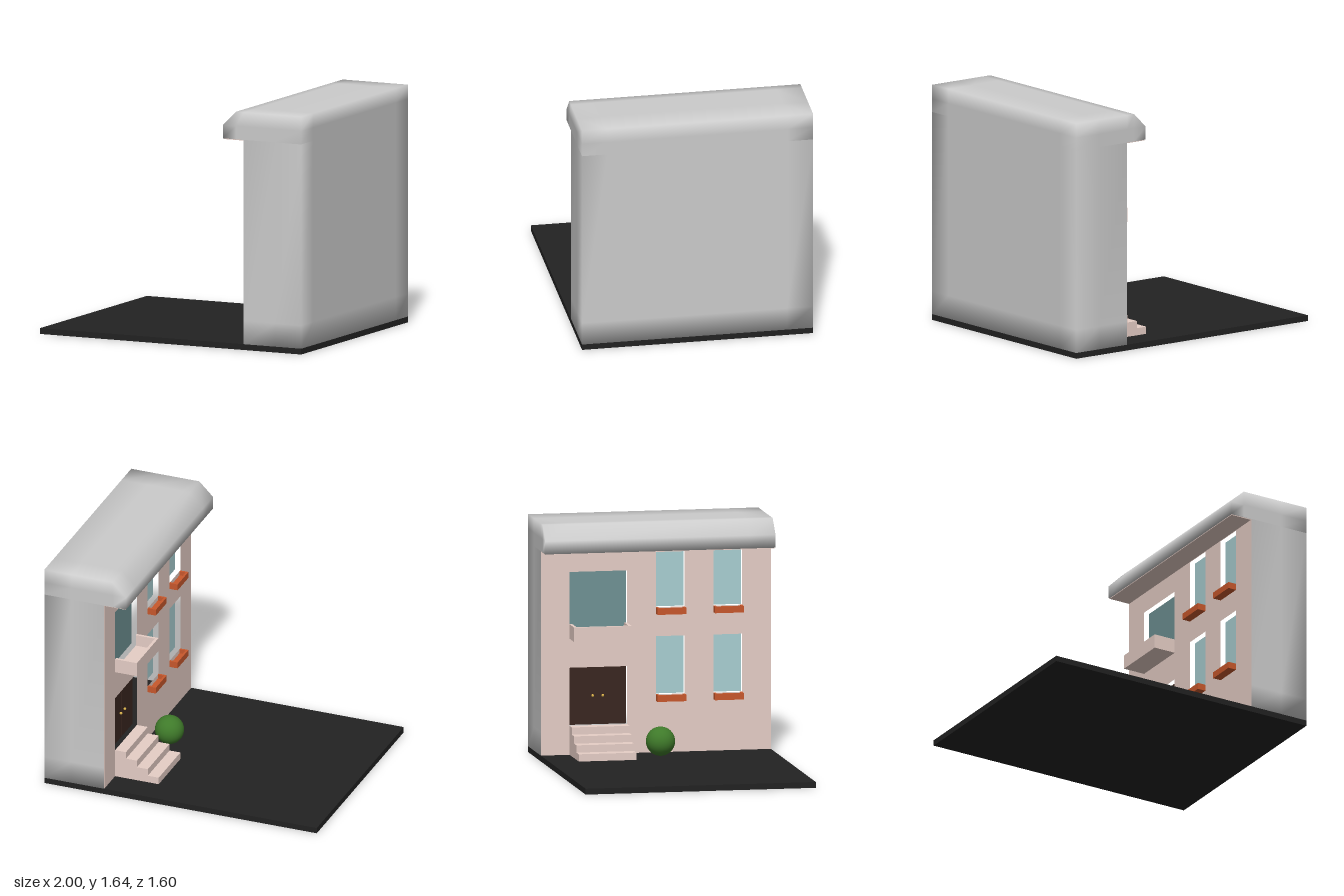
import * as THREE from 'three';
import { mergeVertices } from 'three/addons/utils/BufferGeometryUtils.js';

const mat = (color) => new THREE.MeshStandardMaterial({ color });
const grey = mat(0xcccccc), plaster = mat(0xe6cec6), black = mat(0x222222), terracotta = mat(0xc8582c);
const green = mat(0x3f7a2a), wood = mat(0x3a2620), brass = mat(0xd8b04a);
const glass = mat(0xa9cfd2), darkGlass = mat(0x6f9294);

export function createModel() {
  const root = new THREE.Group();

  const add = (parent, name, geometry, material) => {
    const mesh = new THREE.Mesh(geometry, material);
    mesh.name = name;
    parent.add(mesh);
    return mesh;
  };
  // Box given by its limits on each axis
  const box = (parent, name, material, x0, x1, y0, y1, z0, z1) => {
    const g = new THREE.BoxGeometry(x1 - x0, y1 - y0, z1 - z0);
    g.translate((x0 + x1) / 2, (y0 + y1) / 2, (z0 + z1) / 2);
    return add(parent, name, g, material);
  };
  // Tray against the facade, open at the top
  const tray = (name, material, x0, y0, y1, z0, z1, t) => {
    const g = new THREE.Group();
    g.name = name;
    box(g, 'trayFloor', material, x0, 0.56, y0, y0 + t, z0, z1);
    box(g, 'trayFront', material, x0, x0 + t, y0 + t, y1, z0, z1);
    box(g, 'traySide', material, x0 + t, 0.56, y0 + t, y1, z0, z0 + t);
    box(g, 'traySide', material, x0 + t, 0.56, y0 + t, y1, z1 - t, z1);
    root.add(g);
  };

  box(root, 'ground', black, -1, 1, 0, 0.04, -0.8, 0.8);
  add(root, 'houseShell', shellGeometry(), grey);
  box(root, 'eaveUnderside', plaster, 0.405, 0.56, 1.444, 1.449, -0.795, 0.795);

  // Openings in the facade: [z0, z1, y0, y1]
  const door = [-0.6, -0.2, 0.24, 0.64];
  const balconyDoor = [-0.6, -0.2, 0.86, 1.3];
  const windows = [];
  for (const y of [0.44, 1.04]) for (const z of [0, 0.4]) windows.push([z, z + 0.2, y, y + 0.4]);

  // Facade panel, looking towards -x
  const rect = (Type, [z0, z1, y0, y1]) => new Type([
    new THREE.Vector2(-z0, y0), new THREE.Vector2(-z1, y0),
    new THREE.Vector2(-z1, y1), new THREE.Vector2(-z0, y1),
  ]);
  const panel = rect(THREE.Shape, [-0.799, 0.799, 0.04, 1.449]);
  panel.holes = [door, balconyDoor, ...windows].map((o) => rect(THREE.Path, o));
  const facade = new THREE.ExtrudeGeometry(panel, { depth: 0.04, bevelEnabled: false });
  facade.rotateY(Math.PI / 2);
  facade.translate(0.56, 0, 0);
  add(root, 'facade', facade, plaster);

  // Window panes and their flower boxes
  for (const [z0, z1, y0, y1] of windows) {
    box(root, 'windowPane', glass, 0.6, 0.61, y0, y1, z0, z1);
    tray('flowerBox', terracotta, 0.5, y0 - 0.045, y0, z0, z1, 0.015);
  }
  box(root, 'balconyDoorPane', darkGlass, 0.6, 0.61, 0.86, 1.3, -0.6, -0.2);
  tray('balcony', plaster, 0.4, 0.84, 0.94, -0.6, -0.2, 0.02);

  // Double door with knobs
  box(root, 'doorBack', wood, 0.6, 0.61, 0.24, 0.64, -0.6, -0.2);
  for (const s of [-1, 1]) {
    const c = -0.4 + s * 0.1;
    box(root, 'doorLeaf', wood, 0.59, 0.6, 0.245, 0.635, c - 0.095, c + 0.095);
    add(root, 'doorKnob', new THREE.SphereGeometry(0.01, 12, 8), brass)
      .position.set(0.582, 0.44, -0.4 + s * 0.035);
  }

  // Entrance steps
  for (let i = 0; i < 4; i++) {
    const y = 0.04 + i * 0.05;
    box(root, 'step', plaster, 0.24 + i * 0.08, 0.56, y, y + 0.05, -0.6, -0.2);
  }

  add(root, 'bush', new THREE.SphereGeometry(0.1, 32, 20), green).position.set(0.4, 0.14, 0);
  return root;
}

// Softly shaded shell with a chamfered eave; the side towards -x is left open for the facade
function shellGeometry() {
  const X = [0.4, 0.5, 0.56, 0.8, 1];
  const Y = [0.04, 0.2, 1.449, 1.45, 1.54, 1.64];
  const Z = [-0.8, -0.62, 0.62, 0.8];
  const g = new THREE.BoxGeometry(1, 1, 1, X.length - 1, Y.length - 1, Z.length - 1);
  const p = g.attributes.position;
  const pick = (list, v) => list[Math.round((v + 0.5) * (list.length - 1))];
  for (let i = 0; i < p.count; i++) {
    let x = pick(X, p.getX(i));
    const y = pick(Y, p.getY(i));
    if (y < 1.45) x = Math.max(x, 0.56);
    if (y === 1.64) x = Math.max(x, 0.5);
    p.setXYZ(i, x, y, pick(Z, p.getZ(i)));
  }
  // Drop collapsed triangles and the wall behind the facade
  const keep = [], tri = new THREE.Triangle(), n = new THREE.Vector3();
  for (let i = 0; i < g.index.count; i += 3) {
    const ids = [0, 1, 2].map((k) => g.index.getX(i + k));
    tri.setFromAttributeAndIndices(p, ...ids);
    const low = Math.max(tri.a.y, tri.b.y, tri.c.y) < 1.45;
    if (tri.getArea() < 1e-7 || (low && tri.getNormal(n).x < -0.9)) continue;
    keep.push(...ids);
  }
  g.setIndex(keep);
  g.clearGroups();
  g.deleteAttribute('normal');
  g.deleteAttribute('uv');
  const merged = mergeVertices(g, 1e-5);
  merged.computeVertexNormals();
  return merged;
}
